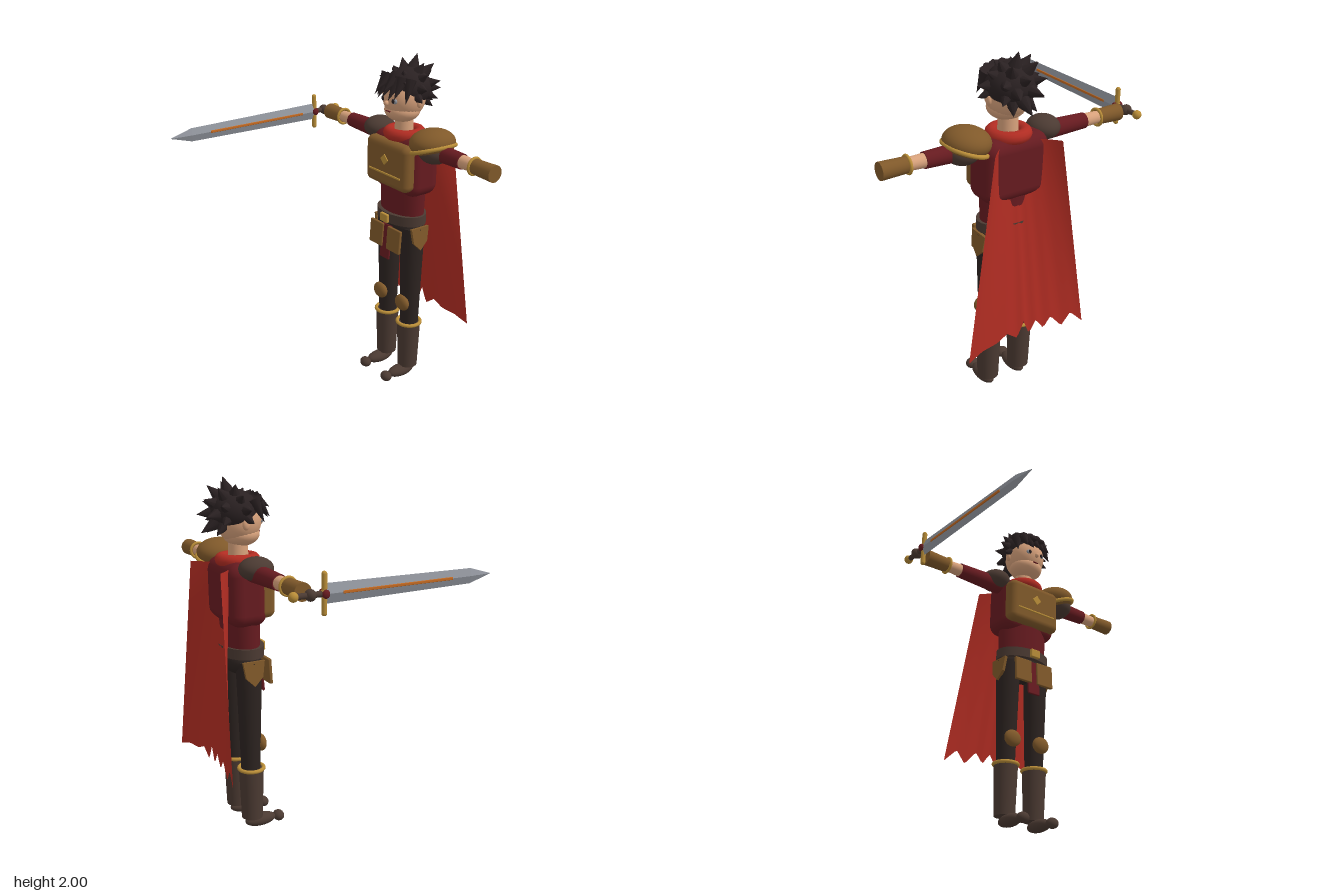
import * as THREE from 'three';
import { RoundedBoxGeometry } from 'three/addons/geometries/RoundedBoxGeometry.js';

const mat = (name, color) => {
  const m = new THREE.MeshStandardMaterial({ color });
  m.name = name;
  return m;
};

export function createModel() {
  const root = new THREE.Group();
  const skin = mat('skin', 0xd8a27c), hairDark = mat('hair', 0x2a2122), trousers = mat('trousers', 0x2c2320);
  const red = mat('cape red', 0xb02c22), maroon = mat('maroon cloth', 0x671b20), bronze = mat('bronze', 0x80592a);
  const brass = mat('brass', 0xb98d38), leather = mat('leather', 0x4b3a32), steel = mat('steel', 0x93979f);
  const amber = mat('amber inlay', 0xc46a22);
  red.side = THREE.DoubleSide;

  const body = new THREE.Group();
  body.name = 'figure';
  body.position.set(0.045, 0, -0.425);
  const sword = new THREE.Group();
  sword.name = 'sword';
  sword.position.set(-0.748, 1.512, 0);
  root.add(body, sword);

  const add = (parent, name, geo, m, x, y, z) => {
    const mesh = new THREE.Mesh(geo, m);
    mesh.name = name;
    mesh.position.set(x, y, z);
    parent.add(mesh);
    return mesh;
  };
  const ball = (parent, name, m, x, y, z, rx, ry = rx, rz = rx) =>
    add(parent, name, new THREE.SphereGeometry(1, 28, 18).scale(rx, ry, rz), m, x, y, z);
  const tube = (parent, name, m, x, y, z, rTop, rBot, h, sz = 1) =>
    add(parent, name, new THREE.CylinderGeometry(rTop, rBot, h, 28).scale(1, 1, sz), m, x, y, z);
  const box = (parent, name, m, x, y, z, w, h, d, r = 0.006) =>
    add(parent, name, new RoundedBoxGeometry(w, h, d, 4, r), m, x, y, z);
  const ring = (parent, name, m, x, y, z, r, t) => {
    const mesh = add(parent, name, new THREE.TorusGeometry(r, t, 12, 32), m, x, y, z);
    mesh.rotation.x = Math.PI / 2;
    return mesh;
  };

  // Torso, breastplate and waist
  box(body, 'torso', maroon, 0, 1.385, -0.015, 0.39, 0.35, 0.22, 0.07);
  tube(body, 'abdomen', maroon, 0, 1.165, -0.005, 0.165, 0.158, 0.17, 0.63);
  box(body, 'breastplate', bronze, -0.002, 1.39, 0.085, 0.365, 0.275, 0.105, 0.04);
  const diamond = box(body, 'breastplateDiamond', brass, 0, 1.42, 0.139, 0.047, 0.047, 0.009, 0.003);
  diamond.rotation.z = Math.PI / 4;
  box(body, 'breastplateBand', brass, 0, 1.337, 0.139, 0.28, 0.012, 0.009, 0.004);
  tube(body, 'belt', leather, 0, 1.06, 0, 0.175, 0.175, 0.058, 0.68);
  ball(body, 'hips', trousers, 0, 1.0, -0.005, 0.165, 0.085, 0.105);
  box(body, 'buckle', brass, 0, 1.06, 0.128, 0.066, 0.052, 0.022);
  const cloth = box(body, 'loincloth', maroon, 0, 0.905, 0.113, 0.085, 0.215, 0.014);
  cloth.rotation.x = -0.08;

  // Collar, neck and head
  ring(body, 'collar', red, 0, 1.557, -0.005, 0.088, 0.035);
  tube(body, 'neck', skin, 0, 1.61, 0, 0.052, 0.055, 0.12);
  const head = new THREE.Group();
  head.name = 'head';
  body.add(head);
  ball(head, 'skull', skin, 0, 1.77, 0.005, 0.122, 0.13, 0.125);
  ball(head, 'jaw', skin, 0, 1.693, 0.018, 0.105, 0.066, 0.1);
  ball(head, 'nose', skin, 0, 1.748, 0.133, 0.012, 0.015, 0.015);
  box(head, 'mouth', maroon, 0, 1.7, 0.121, 0.036, 0.006, 0.008, 0.002);

  // Spiky hair: cones running from scalp to tip
  ball(head, 'hairCap', hairDark, 0, 1.82, -0.02, 0.133, 0.113, 0.128);
  const spike = (from, to, r) => {
    const a = new THREE.Vector3(...from), b = new THREE.Vector3(...to);
    const dir = b.clone().sub(a);
    const mesh = add(head, 'hairSpike', new THREE.ConeGeometry(r, dir.length(), 8), hairDark, 0, 0, 0);
    mesh.position.copy(a).addScaledVector(dir, 0.5);
    mesh.quaternion.setFromUnitVectors(new THREE.Vector3(0, 1, 0), dir.normalize());
  };
  const crown = [
    [0, 2.0, -0.08], [0.095, 1.965, -0.05], [0.15, 1.91, -0.03], [0.187, 1.835, 0], [0.172, 1.765, 0.02],
    [0, 1.885, -0.19], [0, 1.71, -0.212], [0.075, 1.95, -0.14], [0.13, 1.86, -0.145], [0.125, 1.76, -0.135],
    [0.07, 1.80, -0.205], [0.07, 1.7, -0.15], [0.05, 1.93, 0.06], [0.11, 1.88, 0.1]];
  const bangs = [[0, 1.785, 0.165], [0.045, 1.775, 0.16], [0.085, 1.785, 0.15], [0.125, 1.76, 0.1], [0.03, 1.83, 0.175]];
  for (const [x, y, z] of crown) for (const s of x ? [1, -1] : [1])
    spike([s * x * 0.45, 1.82 + (y - 1.82) * 0.45, -0.02 + (z + 0.02) * 0.45], [s * x, y, z], 0.048);
  for (const [x, y, z] of bangs) for (const s of x ? [1, -1] : [1])
    spike([s * x * 0.8, 1.885, z * 0.5], [s * x, y, z], 0.036);

  // Paired parts
  for (const s of [1, -1]) {
    ball(head, 'eye', steel, s * 0.045, 1.765, 0.113, 0.021, 0.017, 0.012);
    ball(head, 'pupil', hairDark, s * 0.045, 1.765, 0.122, 0.011, 0.013, 0.007);
    ball(head, 'ear', skin, s * 0.12, 1.755, -0.005, 0.015, 0.03, 0.02);

    const leg = new THREE.Group();
    leg.name = s > 0 ? 'leftLeg' : 'rightLeg';
    leg.position.x = s * 0.104;
    body.add(leg);
    tube(leg, 'trouserLeg', trousers, 0, 0.69, 0, 0.073, 0.054, 0.64);
    ball(leg, 'kneeGuard', bronze, 0, 0.52, 0.062, 0.056, 0.05, 0.03);
    tube(leg, 'boot', leather, 0, 0.225, 0.003, 0.071, 0.06, 0.305);
    ring(leg, 'bootCuff', brass, 0, 0.375, 0.003, 0.07, 0.011);
    ball(leg, 'foot', leather, 0, 0.042, 0.055, 0.044, 0.037, 0.095);
    ball(leg, 'toeCap', leather, 0, 0.037, 0.172, 0.039, 0.031, 0.032);

    // Hip armour
    const tasset = box(body, 'frontTasset', bronze, s * 0.079, 0.938, 0.118, 0.118, 0.145, 0.02);
    tasset.rotation.x = -0.06;
    const shape = new THREE.Shape([[-0.064, 0.07], [-0.05, -0.02], [0, -0.07], [0.05, -0.02], [0.064, 0.07]]
      .map(p => new THREE.Vector2(...p)));
    const plate = new THREE.ExtrudeGeometry(shape, { depth: 0.018, bevelEnabled: false }).rotateY(s * Math.PI / 2);
    const side = add(body, 'sideTasset', plate, bronze, s * 0.163, 0.95, 0);
    side.rotation.z = s * 0.08;

    // Arm built along +y, then laid sideways
    const arm = new THREE.Group();
    arm.name = s > 0 ? 'leftArm' : 'rightArm';
    arm.position.y = 1.515;
    arm.rotation.z = -s * Math.PI / 2;
    body.add(arm);
    tube(arm, 'sleeve', maroon, 0, 0.325, 0, 0.043, 0.054, 0.33);
    tube(arm, 'forearm', skin, 0, 0.54, 0, 0.033, 0.038, 0.13);
    tube(arm, 'bracer', bronze, 0, 0.655, 0, 0.047, 0.042, 0.15);
    ring(arm, 'bracerRing', brass, 0, 0.58, 0, 0.045, 0.008);
  }

  // Shoulder guards: plain on the right, layered on the left
  ball(body, 'rightShoulderGuard', leather, -0.222, 1.54, 0, 0.088, 0.064, 0.095);
  const pauldron = new THREE.Group();
  pauldron.name = 'leftPauldron';
  pauldron.position.set(0.245, 1.55, 0);
  body.add(pauldron);
  ball(pauldron, 'lowerPlate', leather, 0.03, -0.035, 0, 0.092, 0.07, 0.1);
  const dome = add(pauldron, 'dome', new THREE.SphereGeometry(1, 32, 18).scale(0.124, 0.08, 0.135), bronze, 0, 0.008, 0);
  dome.rotation.z = 0.1;
  const trim = add(pauldron, 'pauldronTrim',
    new THREE.TorusGeometry(0.114, 0.012, 10, 40).rotateX(Math.PI / 2).scale(1, 1, 1.12), brass, 0.012, -0.025, 0);
  trim.rotation.z = 0.34;

  // Cape: hollow from behind, with a torn hem
  const hem = [[-0.375, 0.4], [-0.3, 0.475], [-0.247, 0.4], [-0.175, 0.483], [-0.13, 0.42], [-0.08, 0.49], [-0.037, 0.415],
    [0, 0.505], [0.043, 0.415], [0.11, 0.467], [0.18, 0.435], [0.28, 0.43], [0.375, 0.4]];
  const cols = 48, rows = 16;
  const cape = new THREE.PlaneGeometry(1, 1, cols, rows);
  const p = cape.attributes.position;
  for (let i = 0; i < p.count; i++) {
    const u = p.getX(i) * 2, t = 0.5 - p.getY(i), xb = u * 0.375;
    const k = Math.max(1, hem.findIndex(h => h[0] >= xb - 1e-6));
    const [a, b] = [hem[k - 1], hem[k]];
    const yb = a[1] + (b[1] - a[1]) * (xb - a[0]) / (b[0] - a[0]);
    const edge = -0.195 - 0.035 * t, mid = -0.065 - 0.125 * t;
    p.setXYZ(i, u * (0.205 + 0.17 * t), 1.53 + (yb - 1.53) * t, mid + (edge - mid) * u * u);
  }
  cape.computeVertexNormals();
  add(body, 'cape', cape, red, 0, 0, 0);

  // Sword: diamond-section blade pointing forward
  const sections = [[-0.34, 0.05, 0.017], [0.52, 0.04, 0.013], [0.655, 0.0005, 0.0005]];
  const v = [];
  const corner = ([z, h, w], j) => [[w, 0, z], [0, h, z], [-w, 0, z], [0, -h, z]][j % 4];
  for (let i = 0; i < 2; i++) for (let j = 0; j < 4; j++) {
    const a = corner(sections[i], j), b = corner(sections[i], j + 1);
    const c = corner(sections[i + 1], j + 1), d = corner(sections[i + 1], j);
    v.push(...a, ...b, ...c, ...a, ...c, ...d);
  }
  const blade = new THREE.BufferGeometry();
  blade.setAttribute('position', new THREE.Float32BufferAttribute(v, 3));
  blade.computeVertexNormals();
  add(sword, 'blade', blade, steel, 0, 0, 0);
  for (const s of [1, -1]) {
    box(sword, 'inlay', amber, s * 0.013, 0, 0.075, 0.009, 0.015, 0.65, 0.003);
    ball(sword, 'guardTip', brass, 0, s * 0.095, -0.345, 0.014);
    ball(sword, 'gem', maroon, s * 0.018, 0, -0.345, 0.014, 0.022, 0.02);
  }
  tube(sword, 'crossguard', brass, 0, 0, -0.345, 0.014, 0.014, 0.19);
  ball(sword, 'guardHub', brass, 0, 0, -0.345, 0.022);
  tube(sword, 'grip', leather, 0, 0, -0.425, 0.015, 0.015, 0.15).rotation.x = Math.PI / 2;
  ball(sword, 'gripWrap', leather, 0, 0, -0.42, 0.034, 0.03, 0.027);
  ball(sword, 'pommel', brass, 0, 0, -0.51, 0.025);

  return root;
}
